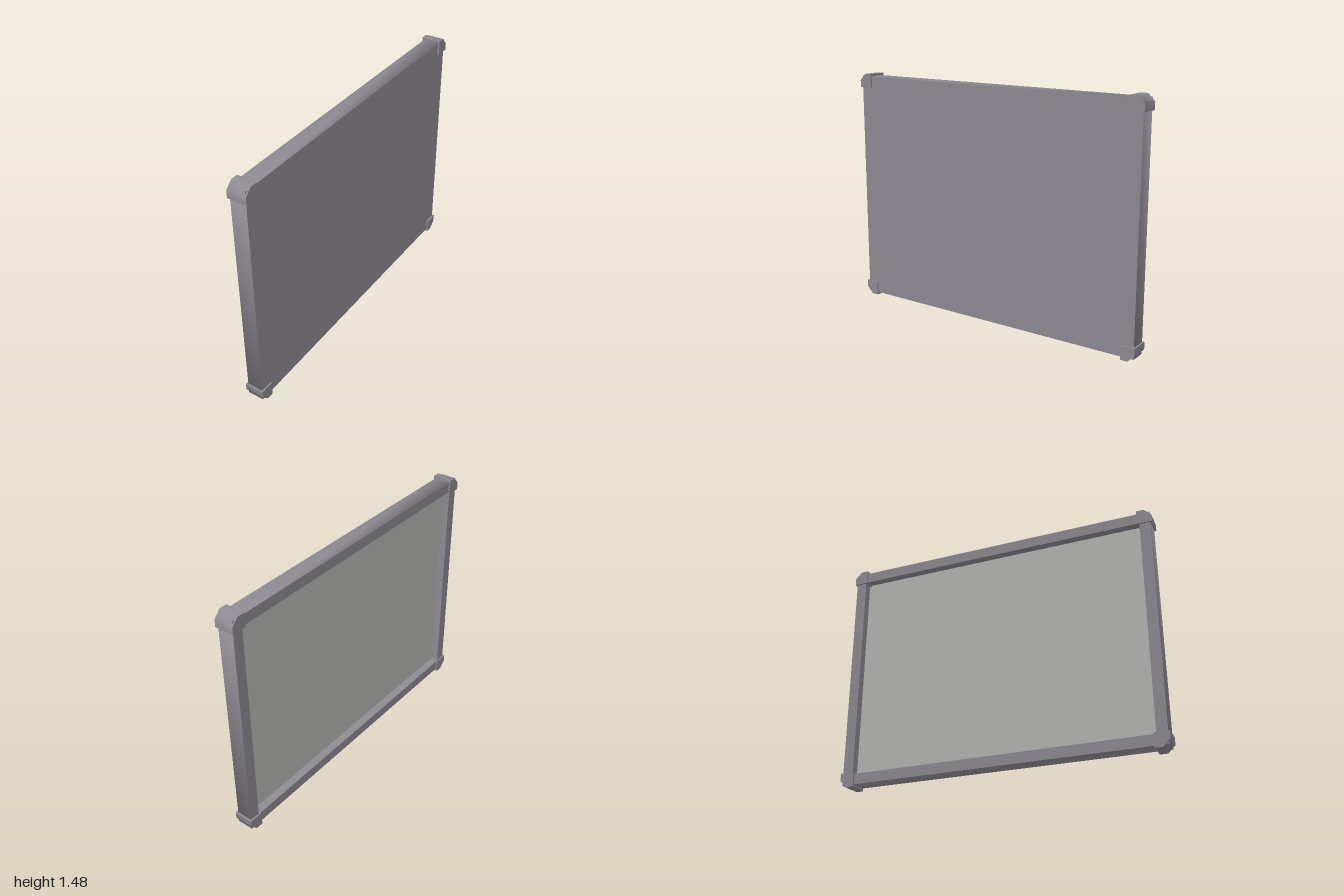
import * as THREE from 'three';
import { mergeGeometries } from 'three/addons/utils/BufferGeometryUtils.js';

const HALF_W = 0.99, HALF_H = 0.7225, HALF_D = 0.05; // frame
const RIM = 0.065;                                   // width of the frame border
const CAP_W = 1, CAP_H = 0.7375, CAP_D = 0.06;       // outer reach of the corner caps
const CAP = 0.087, CUT = 0.042;                      // cap size and corner cut

// Strip of walls along counter-clockwise points, facing outwards
function wall(points, depth0, depth1, closed, smooth) {
  const pos = [], index = [], n = points.length;
  for (const [x, y] of points) pos.push(x, y, depth0, x, y, depth1);
  for (let i = 0; i < (closed ? n : n - 1); i++) {
    const a = 2 * i, b = 2 * ((i + 1) % n);
    index.push(a, b, b + 1, a, b + 1, a + 1);
  }
  let g = new THREE.BufferGeometry();
  g.setAttribute('position', new THREE.Float32BufferAttribute(pos, 3));
  g.setIndex(index);
  if (smooth) {
    g.computeVertexNormals();
    g = g.toNonIndexed();
  } else {
    g = g.toNonIndexed();
    g.computeVertexNormals();
  }
  return g;
}

// Flat face at a depth, facing forwards or (flipped) backwards
function face(points, depth, flip, hole) {
  const toShape = (pts) => pts.map(([x, y]) => new THREE.Vector2(flip ? -x : x, y));
  const shape = new THREE.Shape(toShape(points));
  if (hole) shape.holes.push(new THREE.Path(toShape(hole)));
  const g = new THREE.ShapeGeometry(shape).toNonIndexed();
  if (flip) g.rotateY(Math.PI);
  g.translate(0, 0, depth);
  g.deleteAttribute('uv');
  return g;
}

const rectangle = (w, h) => [[-w, -h], [w, -h], [w, h], [-w, h]];

export function createModel() {
  const frameGrey = new THREE.MeshStandardMaterial({ color: 0x8e8a93 });
  frameGrey.name = 'frameGrey';
  const panelGrey = new THREE.MeshStandardMaterial({ color: 0xb6b6b5 });
  panelGrey.name = 'panelGrey';

  const board = new THREE.Group();
  board.name = 'board';
  const add = (name, geometry, material) => {
    const mesh = new THREE.Mesh(geometry, material);
    mesh.name = name;
    board.add(mesh);
  };

  // Shallow tray: outer walls, closed face, rim and inner walls
  const outer = rectangle(HALF_W, HALF_H);
  const inner = rectangle(HALF_W - RIM, HALF_H - RIM);
  add('frame', mergeGeometries([
    wall(outer, -HALF_D, HALF_D, true, true),
    face(outer, HALF_D, false),
    face(outer, -HALF_D, true, inner),
    wall([...inner].reverse(), -HALF_D, 0, true, false),
  ]), frameGrey);

  // Recessed panel
  add('panel', face(inner, 0, true), panelGrey);

  // Corner caps with a cut outer corner
  for (const sx of [-1, 1]) {
    for (const sy of [-1, 1]) {
      const points = [
        [CAP_W - CAP, CAP_H - CAP], [CAP_W, CAP_H - CAP], [CAP_W, CAP_H - CUT],
        [CAP_W - CUT, CAP_H], [CAP_W - CAP, CAP_H],
      ].map(([x, y]) => [x * sx, y * sy]);
      const ordered = sx * sy > 0 ? points : [points[0], ...points.slice(1).reverse()];
      add('cornerCap', mergeGeometries([
        wall(ordered.slice(1), -CAP_D, CAP_D, false, true),
        wall([ordered[4], ordered[0], ordered[1]], -CAP_D, CAP_D, false, false),
        face(ordered, CAP_D, false),
        face(ordered, -CAP_D, true),
      ]), frameGrey);
    }
  }

  // Stand the board upright with its closed face towards +x
  board.rotation.y = Math.PI / 2;
  board.position.y = CAP_H;
  const model = new THREE.Group();
  model.name = 'framedBoard';
  model.add(board);
  return model;
}
